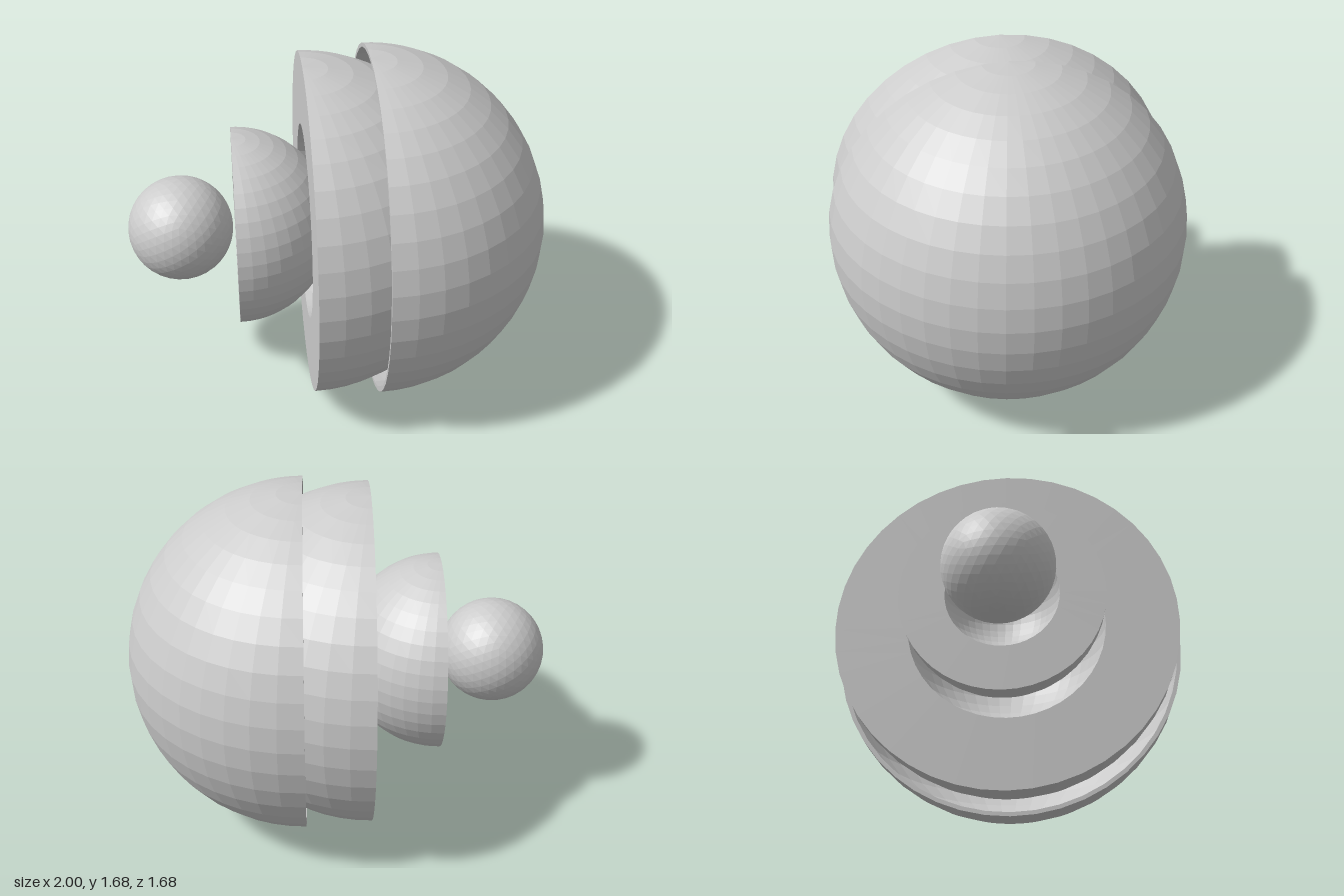
import * as THREE from 'three';

const material = new THREE.MeshStandardMaterial({ color: 0xcccccc, flatShading: true });
const CENTRE_Y = 0.842;
const ROWS = 22;

function addMesh(group, name, geometry) {
  const mesh = new THREE.Mesh(geometry, material);
  mesh.name = name;
  group.add(mesh);
}

// Half sphere bulging towards +x, open towards -x
function halfSphere(radius) {
  return new THREE.SphereGeometry(radius, ROWS, ROWS, Math.PI / 2, Math.PI);
}

// Hollow half shell: outer dome, hollow facing -x and the flat cut rim between them
function halfShell(name, x, outer, inner) {
  const shell = new THREE.Group();
  shell.name = name;
  shell.position.set(x, CENTRE_Y, 0);

  addMesh(shell, name + 'Dome', halfSphere(outer));

  const hollow = halfSphere(inner);
  hollow.index.array.reverse(); // turn the faces inward
  hollow.computeVertexNormals();
  addMesh(shell, name + 'Hollow', hollow);

  const rim = new THREE.RingGeometry(inner, outer, ROWS * 2, 1);
  rim.rotateY(-Math.PI / 2);
  addMesh(shell, name + 'CutRim', rim);
  return shell;
}

export function createModel() {
  const model = new THREE.Group();
  model.name = 'explodedPlanetLayers';

  // Solid ball at the end of the row
  const core = new THREE.Mesh(new THREE.IcosahedronGeometry(0.25, 6), material);
  core.name = 'innerCore';
  core.position.set(-0.75, CENTRE_Y, 0);
  model.add(core);

  // Nested half shells: name, x of the cut, outer radius, hollow radius
  const shells = [
    ['outerCore', -0.49, 0.47, 0.26],
    ['mantle', -0.155, 0.818, 0.47],
    ['crust', 0.156, 0.842, 0.822],
  ];
  for (const shell of shells) model.add(halfShell(...shell));

  return model;
}
